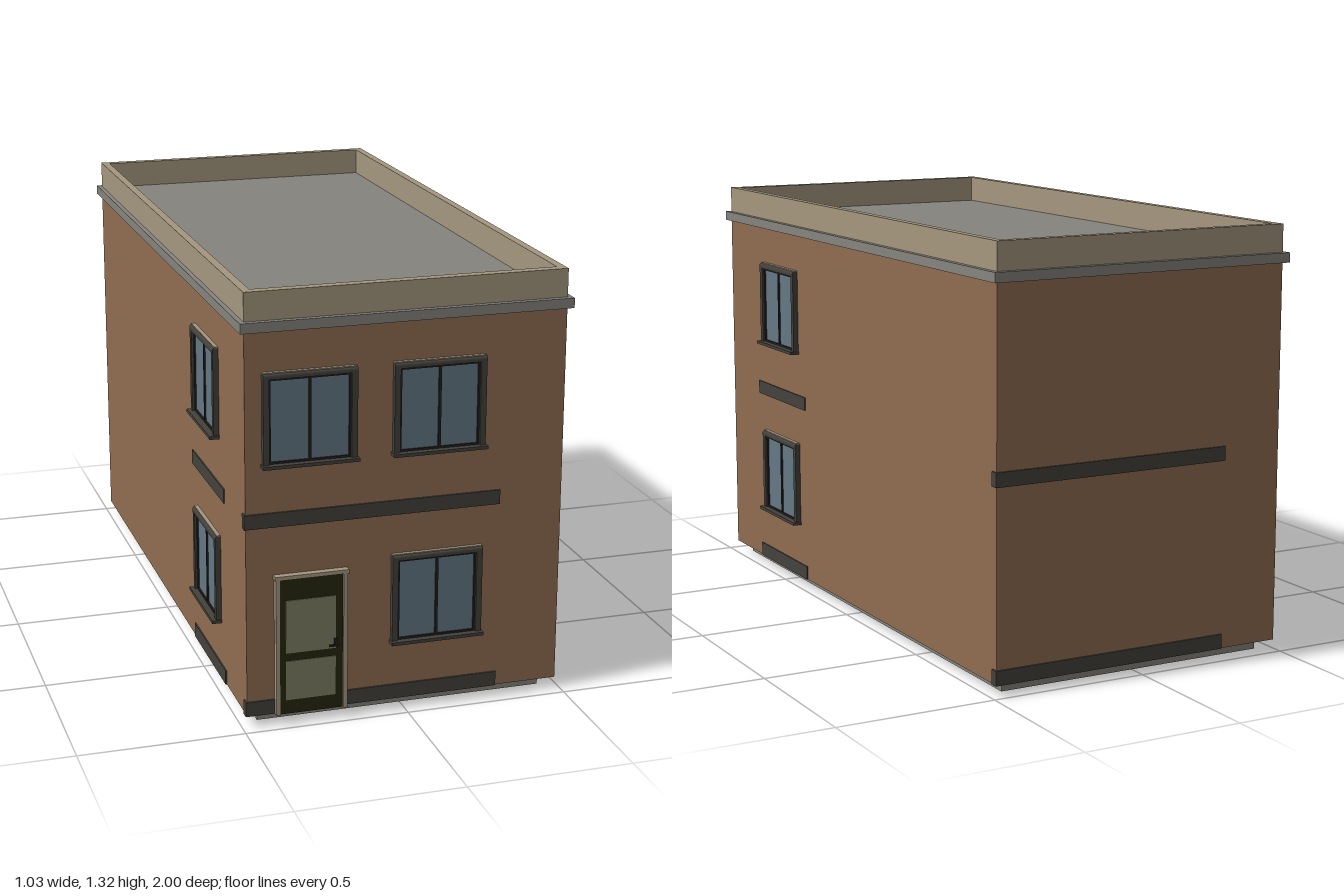
import * as THREE from 'three';

const mat = (name, color) => {
  const m = new THREE.MeshStandardMaterial({ color });
  m.name = name;
  return m;
};

export function createModel() {
  const brick = mat('brick brown', 0x906d52);
  const tan = mat('tan trim', 0xa5977f);
  const stone = mat('stone grey', 0x85847e);
  const dark = mat('dark grey', 0x45423d);
  const black = mat('window black', 0x24221f);
  const glass = mat('blue glass', 0x647885);
  const doorGreen = mat('dark door green', 0x25250f);
  const doorGlass = mat('olive door glass', 0x7d7f64);

  const house = new THREE.Group();
  house.name = 'house';

  // Box given by its minimum and maximum on each axis
  const box = (parent, name, m, x0, x1, y0, y1, z0, z1) => {
    const mesh = new THREE.Mesh(new THREE.BoxGeometry(x1 - x0, y1 - y0, z1 - z0), m);
    mesh.position.set((x0 + x1) / 2, (y0 + y1) / 2, (z0 + z1) / 2);
    mesh.name = name;
    parent.add(mesh);
    return mesh;
  };

  // Main masses
  const W = 0.485, FRONT = 0.96, BACK = -0.983;
  box(house, 'foundation', stone, -0.445, 0.445, 0, 0.035, -0.94, 0.92);
  box(house, 'walls', brick, -W, W, 0.035, 1.2, BACK, FRONT);
  box(house, 'corniceAndRoof', stone, -0.5, 0.5, 1.2, 1.23, -1, 0.977);

  // Parapet: a hollow rectangle raised from the roof
  const rect = (path, x, z0, z1) => path.moveTo(-x, -z1).lineTo(x, -z1).lineTo(x, -z0).lineTo(-x, -z0).closePath();
  const ring = new THREE.Shape();
  rect(ring, W, BACK, FRONT);
  const hole = new THREE.Path();
  rect(hole, 0.46, -0.957, 0.93);
  ring.holes.push(hole);
  const parapetGeo = new THREE.ExtrudeGeometry(ring, { depth: 0.085, bevelEnabled: false });
  parapetGeo.rotateX(-Math.PI / 2);
  const parapet = new THREE.Mesh(parapetGeo, tan);
  parapet.position.y = 1.23;
  parapet.name = 'parapet';
  house.add(parapet);

  // Dark bands at each storey
  for (const [y0, y1] of [[0.035, 0.08], [0.617, 0.661]]) {
    box(house, 'frontBand', dark, -0.49, 0.29, y0, y1, FRONT - 0.02, FRONT + 0.005);
    box(house, 'backBand', dark, -0.29, 0.49, y0, y1, BACK - 0.005, BACK + 0.02);
    for (const s of [-1, 1]) {
      const x = s * W;
      box(house, 'sideBand', dark, x - 0.004, x + 0.004, y0, y1, 0.34, 0.727);
    }
  }

  // Two-pane window facing +z, standing on its sill
  const makeWindow = () => {
    const g = new THREE.Group();
    g.name = 'window';
    box(g, 'sill', dark, -0.144, 0.144, 0, 0.01, 0, 0.03);
    for (const s of [-1, 1]) {
      box(g, 'jamb', dark, s * 0.131 - 0.009, s * 0.131 + 0.009, 0.01, 0.262, 0, 0.017);
      box(g, 'innerFrame', black, s * 0.119 - 0.003, s * 0.119 + 0.003, 0.01, 0.262, 0, 0.01);
      box(g, 'pane', glass, s * 0.06 - 0.056, s * 0.06 + 0.056, 0.016, 0.256, 0, 0.005);
    }
    box(g, 'bottomRail', black, -0.116, 0.116, 0.01, 0.016, 0, 0.01);
    box(g, 'topRail', black, -0.116, 0.116, 0.256, 0.262, 0, 0.01);
    box(g, 'mullion', black, -0.004, 0.004, 0.016, 0.256, 0, 0.01);
    // Header with a rounded front edge
    const profile = new THREE.Shape();
    profile.moveTo(0, 0).lineTo(0.018, 0).lineTo(0.018, 0.008);
    profile.quadraticCurveTo(0.018, 0.016, 0.01, 0.016).lineTo(0, 0.016).closePath();
    const geo = new THREE.ExtrudeGeometry(profile, { depth: 0.28, bevelEnabled: false, curveSegments: 4 });
    geo.rotateY(-Math.PI / 2);
    const header = new THREE.Mesh(geo, dark);
    header.position.set(0.14, 0.262, 0);
    header.name = 'header';
    g.add(header);
    box(g, 'headerCap', tan, -0.14, 0.14, 0.277, 0.281, 0, 0.012);
    return g;
  };
  const placeWindow = (x, y, z, turn) => {
    const w = makeWindow();
    w.position.set(x, y, z);
    w.rotation.y = turn;
    house.add(w);
  };
  placeWindow(-0.295, 0.8, FRONT, 0);
  for (const y of [0.215, 0.8]) {
    placeWindow(0.095, y, FRONT, 0);
    for (const s of [-1, 1]) placeWindow(s * W, y, 0.532, s * Math.PI / 2);
  }

  // Front door
  const door = new THREE.Group();
  door.name = 'frontDoor';
  door.position.z = FRONT;
  house.add(door);
  box(door, 'doorJamb', tan, -0.401, -0.388, 0.033, 0.462, 0, 0.02);
  box(door, 'doorJamb', tan, -0.196, -0.183, 0.033, 0.462, 0, 0.02);
  box(door, 'doorHeader', tan, -0.404, -0.18, 0.458, 0.47, 0, 0.022);
  box(door, 'doorLeaf', doorGreen, -0.388, -0.196, 0.033, 0.458, 0, 0.012);
  box(door, 'upperDoorPane', doorGlass, -0.37, -0.218, 0.225, 0.39, 0.011, 0.014);
  box(door, 'lowerDoorPane', doorGlass, -0.37, -0.218, 0.077, 0.2, 0.011, 0.014);
  box(door, 'handlePlate', black, -0.224, -0.212, 0.232, 0.256, 0.012, 0.018);
  const stem = new THREE.Mesh(new THREE.CylinderGeometry(0.003, 0.003, 0.022, 8), black);
  stem.rotation.x = Math.PI / 2;
  stem.position.set(-0.218, 0.244, 0.027);
  stem.name = 'handleStem';
  door.add(stem);
  box(door, 'handleLever', black, -0.245, -0.215, 0.241, 0.247, 0.034, 0.04);

  return house;
}
